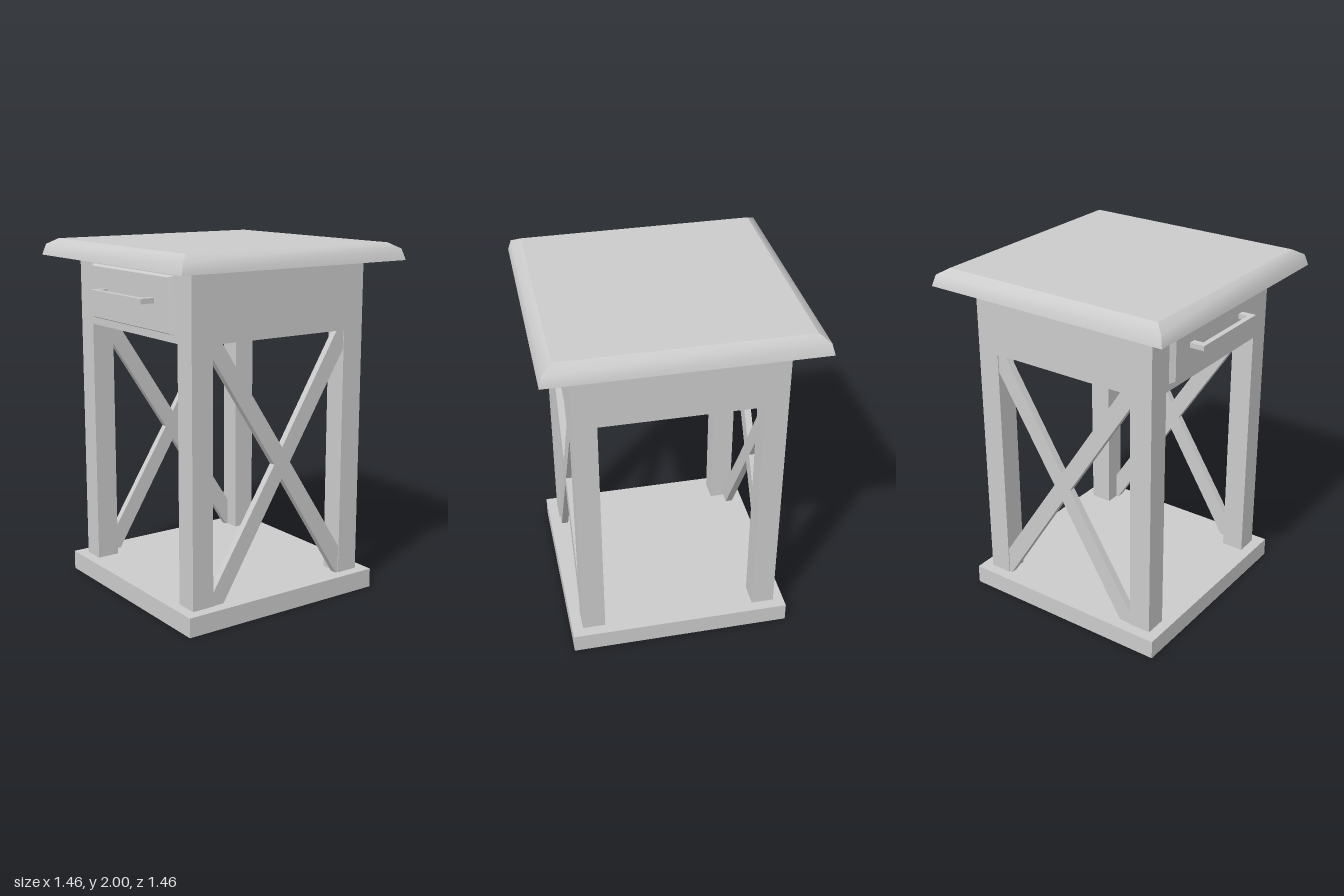
import * as THREE from 'three';

const material = new THREE.MeshStandardMaterial({ color: 0xcccccc });

function add(parent, name, geometry, x = 0, y = 0, z = 0) {
  const mesh = new THREE.Mesh(geometry, material);
  mesh.name = name;
  mesh.position.set(x, y, z);
  parent.add(mesh);
  return mesh;
}

// Box from its lower and upper corners
function box(parent, name, [x0, y0, z0], [x1, y1, z1]) {
  return add(parent, name, new THREE.BoxGeometry(x1 - x0, y1 - y0, z1 - z0),
    (x0 + x1) / 2, (y0 + y1) / 2, (z0 + z1) / 2);
}

// Rectangular block whose edge follows layers of [halfWidth, halfDepth, height];
// each side is smooth along its profile, corners and caps stay sharp
function profiledBlock(layers) {
  const positions = [], index = [];
  const corners = [[-1, 1], [1, 1], [1, -1], [-1, -1]];
  const put = ([w, d, y], [sx, sz]) => positions.push(w * sx, y, d * sz);
  const quad = (a, b, c, d) => index.push(a, b, c, a, c, d);
  for (let s = 0; s < 4; s++) {
    const start = positions.length / 3;
    for (const layer of layers) {
      put(layer, corners[s]);
      put(layer, corners[(s + 1) % 4]);
    }
    for (let i = 0; i < layers.length - 1; i++) {
      const a = start + i * 2;
      quad(a, a + 1, a + 3, a + 2);
    }
  }
  const cap = positions.length / 3;
  corners.forEach((c) => put(layers[layers.length - 1], c));
  corners.forEach((c) => put(layers[0], c));
  quad(cap, cap + 1, cap + 2, cap + 3);
  quad(cap + 7, cap + 6, cap + 5, cap + 4);
  const geometry = new THREE.BufferGeometry();
  geometry.setAttribute('position', new THREE.Float32BufferAttribute(positions, 3));
  geometry.setIndex(index);
  geometry.computeVertexNormals();
  return geometry;
}

export function createModel() {
  const model = new THREE.Group();
  model.name = 'sideTable';

  // Base board, apron and legs
  box(model, 'base', [-0.632, 0, -0.632], [0.632, 0.11, 0.632]);
  box(model, 'apron', [-0.57, 1.525, -0.57], [0.57, 1.905, 0.57]);
  for (const sx of [-1, 1]) {
    for (const sz of [-1, 1]) {
      add(model, 'leg', new THREE.BoxGeometry(0.13, 1.415, 0.13), sx * 0.505, 0.8175, sz * 0.505);
    }
  }

  // Table top with a rounded, sloping edge
  add(model, 'tableTop', profiledBlock([
    [0.732, 0.732, 1.905], [0.714, 0.714, 1.967], [0.66, 0.66, 2],
  ]));

  // Crossed braces on both sides, drawn as one outline in (z, y)
  const outline = [
    [0.44, 0.11], [0.37, 0.11], [-0.02, 0.745], [-0.425, 0.11], [-0.44, 0.11], [-0.44, 0.27],
    [-0.075, 0.83], [-0.44, 1.42], [-0.44, 1.525], [-0.39, 1.525], [-0.02, 0.92],
    [0.376, 1.525], [0.44, 1.525], [0.44, 1.455], [0.032, 0.83], [0.44, 0.18],
  ].map(([z, y]) => new THREE.Vector2(z, y));
  const brace = new THREE.ExtrudeGeometry(new THREE.Shape(outline), { depth: 0.04, bevelEnabled: false });
  brace.rotateY(-Math.PI / 2);
  add(model, 'crossBrace', brace, 0.565);
  add(model, 'crossBrace', brace, -0.525);

  // Drawer front with chamfered edges
  const drawer = new THREE.Group();
  drawer.name = 'drawer';
  model.add(drawer);
  const front = profiledBlock([[0.417, 0.153, 0], [0.39, 0.143, 0.025]]);
  front.rotateX(Math.PI / 2);
  add(drawer, 'drawerFront', front, -0.002, 1.718, 0.569);

  // Handle bar on two posts
  box(drawer, 'handleBar', [-0.264, 1.717, 0.647], [0.26, 1.745, 0.677]);
  for (const x of [-0.264, 0.22]) {
    box(drawer, 'handlePost', [x, 1.717, 0.59], [x + 0.04, 1.745, 0.647]);
  }

  return model;
}
